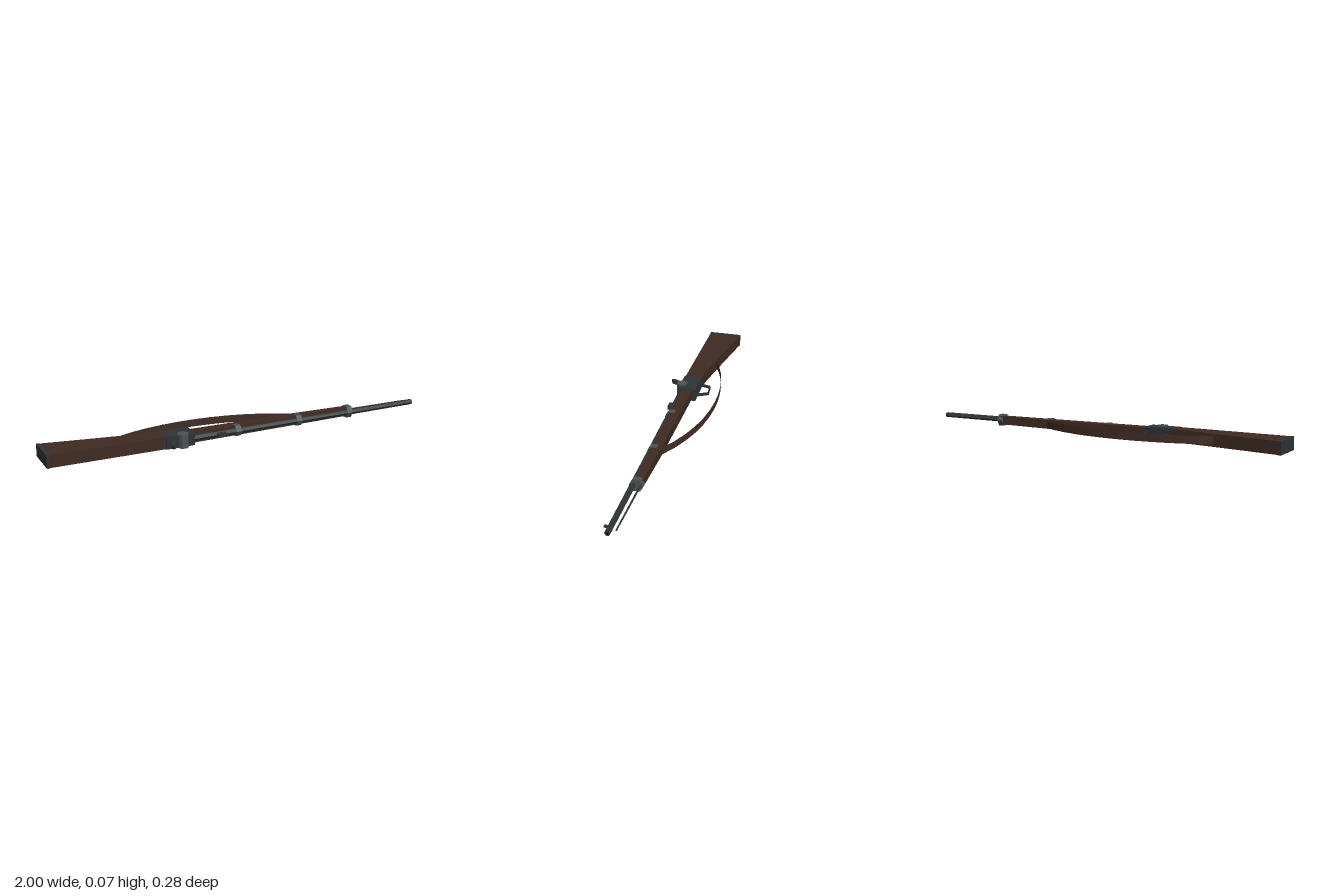
import * as THREE from 'three';

const mat = (color) => new THREE.MeshStandardMaterial({ color, flatShading: true, side: THREE.DoubleSide });
const MID = 0.035; // height of the centre plane; the rifle lies on its side, muzzle to +x

export function createModel() {
  const group = new THREE.Group();
  const wood = mat(0x3f2b22), steel = mat(0x2f3336), lightSteel = mat(0x4c5153), leather = mat(0x402d25);

  const add = (name, geometry, material, x = 0, y = 0, z = 0) => {
    const mesh = new THREE.Mesh(geometry, material);
    mesh.name = name;
    mesh.position.set(x, y, z);
    group.add(mesh);
    return mesh;
  };
  // side profile in x and z, thickened evenly about the centre plane
  const slab = (name, points, thickness, material) => {
    const shape = new THREE.Shape(points.map(([x, z]) => new THREE.Vector2(x, z)));
    const g = new THREE.ExtrudeGeometry(shape, { depth: thickness, bevelEnabled: false });
    g.translate(0, 0, -thickness / 2).rotateX(Math.PI / 2);
    return add(name, g, material, 0, MID, 0);
  };
  // hexagonal bar running along x, corners towards +z and -z
  const hexBar = (name, x0, x1, z, r0, r1, material) => {
    const g = new THREE.CylinderGeometry(r1, r0, x1 - x0, 6).rotateZ(-Math.PI / 2);
    return add(name, g, material, (x0 + x1) / 2, MID, z);
  };

  // wooden parts
  slab('buttStock', [[-0.985, 0.059], [-0.41, 0.07], [-0.41, -0.013], [-0.5, -0.024], [-0.72, -0.062], [-0.985, -0.111]], 0.062, wood);
  const fore = slab('foreStock', [[-0.28, 0.002], [0.3, 0.009], [0.61, 0.02], [0.61, 0.056], [-0.28, 0.058]], 0.052, wood);
  const p = fore.geometry.attributes.position;
  for (let i = 0; i < p.count; i++) p.setY(i, p.getY(i) * (1 - 0.18 * (p.getX(i) + 0.28) / 0.89));
  fore.geometry.computeVertexNormals();

  // butt plate and receiver
  slab('buttPlate', [[-1, 0.06], [-0.985, 0.06], [-0.985, -0.112], [-1, -0.115]], 0.065, steel);
  add('receiver', new THREE.BoxGeometry(0.15, 0.064, 0.092), steel, -0.345, MID, 0.029);
  add('lockHousing', new THREE.CylinderGeometry(0.03, 0.03, 0.07, 6).rotateY(Math.PI / 6), lightSteel, -0.33, MID, 0.067);
  slab('hammer', [[-0.385, 0.068], [-0.362, 0.068], [-0.393, 0.135], [-0.41, 0.143], [-0.414, 0.128]], 0.018, steel);

  // barrel, ramrod and bands
  hexBar('barrel', -0.28, 1, 0.061, 0.017, 0.014, steel);
  const bore = add('bore', new THREE.CircleGeometry(0.007, 6).rotateY(Math.PI / 2), mat(0x0c0c0c), 1.0005, MID, 0.061);
  bore.scale.x = 1;
  const rod = hexBar('ramrod', 0.59, 0.97, 0.028, 0.005, 0.004, steel);
  rod.rotation.y = -0.014;
  hexBar('rearBand', -0.05, -0.02, 0.049, 0.031, 0.031, lightSteel);
  hexBar('middleBand', 0.295, 0.325, 0.047, 0.031, 0.031, lightSteel);
  hexBar('frontBand', 0.594, 0.624, 0.044, 0.034, 0.034, lightSteel);

  // sights
  add('rearSight', new THREE.BoxGeometry(0.044, 0.02, 0.022), steel, -0.13, MID, 0.079);
  add('frontSight', new THREE.BoxGeometry(0.012, 0.008, 0.02), steel, 0.952, MID, 0.08);

  // trigger guard: a narrow bent strip
  const guard = [[-0.402, -0.015], [-0.384, -0.075], [-0.307, -0.082], [-0.272, -0.015]];
  const inner = [[-0.28, -0.015], [-0.312, -0.075], [-0.378, -0.069], [-0.394, -0.015]];
  slab('triggerGuard', [...guard, ...inner], 0.014, steel);

  // sling: a paper-thin strap hanging in a shallow bow
  const strap = new THREE.PlaneGeometry(1, 0.038, 12, 1);
  const bow = new THREE.CubicBezierCurve3(
    new THREE.Vector3(-0.65, 0, -0.05), new THREE.Vector3(-0.42, 0, -0.17),
    new THREE.Vector3(0.02, 0, -0.185), new THREE.Vector3(0.31, 0, 0.01));
  const s = strap.attributes.position;
  for (let i = 0; i < s.count; i++) {
    const q = bow.getPoint(s.getX(i) + 0.5);
    s.setXYZ(i, q.x, s.getY(i), q.z);
  }
  strap.computeVertexNormals();
  add('sling', strap, leather, 0, MID, 0);

  return group;
}
